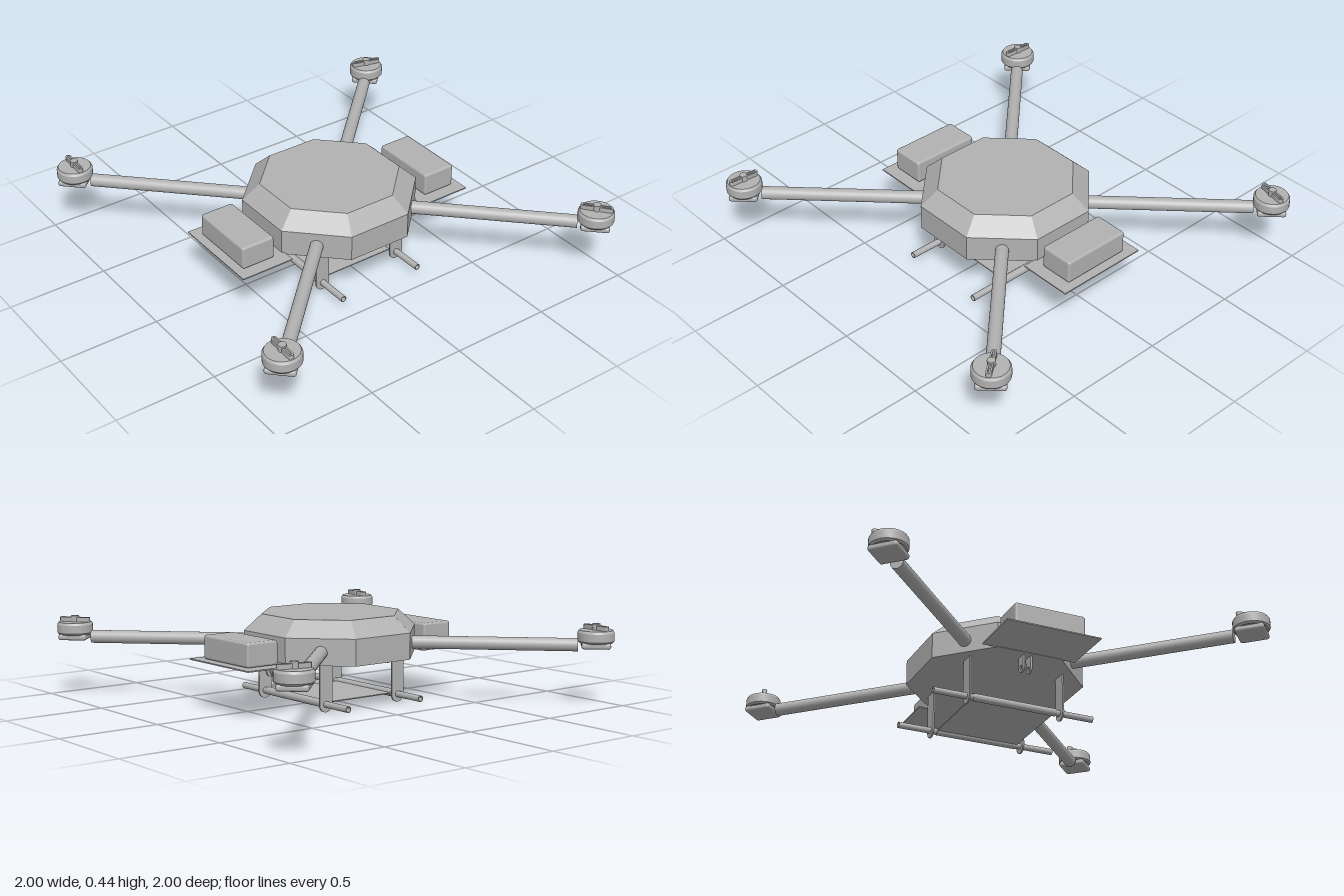
import * as THREE from 'three';
import { toCreasedNormals } from 'three/addons/utils/BufferGeometryUtils.js';
import { RoundedBoxGeometry } from 'three/addons/geometries/RoundedBoxGeometry.js';

export function createModel() {
  const model = new THREE.Group();
  const grey = new THREE.MeshStandardMaterial({ color: 0xb2b2b2 });
  grey.name = 'grey';

  function add(name, geometry, x = 0, y = 0, z = 0, parent = model) {
    const mesh = new THREE.Mesh(geometry, grey);
    mesh.name = name;
    mesh.position.set(x, y, z);
    parent.add(mesh);
    return mesh;
  }
  const lathe = (pts, n) => toCreasedNormals(
    new THREE.LatheGeometry(pts.map(p => new THREE.Vector2(p[0], p[1])), n), 0.5);

  // Octagonal shell with a sloping shoulder
  const k = 1 / Math.cos(Math.PI / 8);
  const shell = new THREE.LatheGeometry(
    [[0, 0.235], [0.4, 0.235], [0.4, 0.363], [0.32, 0.44], [0, 0.44]]
      .map(([r, y]) => new THREE.Vector2(r * k, y)), 8, Math.PI / 8);
  add('body', toCreasedNormals(shell, 0.2));

  // Hanging strap with a rounded, drilled end; its face looks along x
  function strap(width, height, hole, thickness) {
    const r = width / 2;
    const s = new THREE.Shape();
    s.moveTo(-r, height);
    s.lineTo(-r, r);
    s.absarc(0, r, r, Math.PI, Math.PI * 2, false);
    s.lineTo(r, height);
    s.closePath();
    const h = new THREE.Path();
    h.absarc(0, r, hole, 0, Math.PI * 2, true);
    s.holes.push(h);
    const g = new THREE.ExtrudeGeometry(s, { depth: thickness, bevelEnabled: false, curveSegments: 12 });
    return toCreasedNormals(g.translate(0, 0, -thickness / 2).rotateY(Math.PI / 2), 0.6);
  }
  const leg = strap(0.074, 0.24, 0.014, 0.008);
  const lug = strap(0.05, 0.085, 0.01, 0.011);

  // Hollow tube along x
  const tube = (outer, inner, length) => lathe(
    [[inner, -length / 2], [outer, -length / 2], [outer, length / 2], [inner, length / 2], [inner, -length / 2]], 24)
    .rotateZ(Math.PI / 2);
  const rail = tube(0.0155, 0.012, 0.83);
  const sleeve = tube(0.019, 0.0155, 0.43);

  for (const sz of [-1, 1]) {
    // Equipment trays and battery boxes
    add('tray', new THREE.BoxGeometry(0.48, 0.006, 0.275), 0, 0.24, sz * 0.5275);
    add('battery', new RoundedBoxGeometry(0.36, 0.117, 0.175, 2, 0.012), 0, 0.302, sz * 0.5375);

    // Landing gear
    add('landingRail', rail, 0, 0.041, sz * 0.222);
    add('railSleeve', sleeve, 0, 0.042, sz * 0.222);
    for (const sx of [-1, 1]) {
      add('landingLeg', leg, sx * 0.243, 0.003, sz * 0.222);
      add('hangingLug', lug, sx * 0.019, 0.153, sz * 0.35);
    }
  }
  add('lowerPlate', new THREE.BoxGeometry(0.43, 0.005, 0.41), 0, 0.042, 0);

  // Rotor adapter: rounded bar with a slot in each half
  function slottedBar() {
    const s = new THREE.Shape();
    s.moveTo(-0.065, -0.013);
    s.lineTo(0.065, -0.013);
    s.absarc(0.065, 0, 0.013, -Math.PI / 2, Math.PI / 2, false);
    s.lineTo(-0.065, 0.013);
    s.absarc(-0.065, 0, 0.013, Math.PI / 2, Math.PI * 1.5, false);
    for (const d of [-1, 1]) {
      const h = new THREE.Path();
      h.absarc(d * 0.045 + 0.018, 0, 0.005, Math.PI / 2, -Math.PI / 2, true);
      h.absarc(d * 0.045 - 0.018, 0, 0.005, -Math.PI / 2, -Math.PI * 1.5, true);
      h.closePath();
      s.holes.push(h);
    }
    const g = new THREE.ExtrudeGeometry(s, { depth: 0.022, bevelEnabled: false, curveSegments: 8 });
    return toCreasedNormals(g.rotateX(-Math.PI / 2), 0.6);
  }
  const bar = slottedBar();
  const can = lathe([[0, 0.308], [0.08, 0.308], [0.088, 0.318], [0.088, 0.358],
    [0.08, 0.37], [0, 0.37]], 32);
  const hub = new THREE.CylinderGeometry(0.019, 0.019, 0.034, 20);
  const armLength = 0.6 * Math.SQRT2;
  const arm = new THREE.CylinderGeometry(0.032, 0.032, armLength, 24).rotateZ(Math.PI / 2);
  const mount = new RoundedBoxGeometry(0.14, 0.03, 0.14, 2, 0.012);

  // Four diagonal arms, each with a motor and its adapter bar
  for (const [sx, sz, barAngle] of [[-1, -1, 76], [1, -1, 38], [-1, 1, -2], [1, 1, -2]]) {
    const group = new THREE.Group();
    group.name = 'armAssembly';
    model.add(group);
    const yaw = Math.atan2(-sz, sx);
    add('arm', arm, sx * 0.545, 0.296, sz * 0.545, group).rotation.y = yaw;
    const x = sx * 0.905, z = sz * 0.905;
    add('motorMount', mount, x, 0.298, z, group).rotation.y = yaw;
    add('motor', can, x, 0, z, group);
    add('rotorHub', hub, x, 0.383, z, group);
    add('rotorBar', bar, x, 0.37, z, group).rotation.y = THREE.MathUtils.degToRad(barAngle);
  }
  return model;
}
